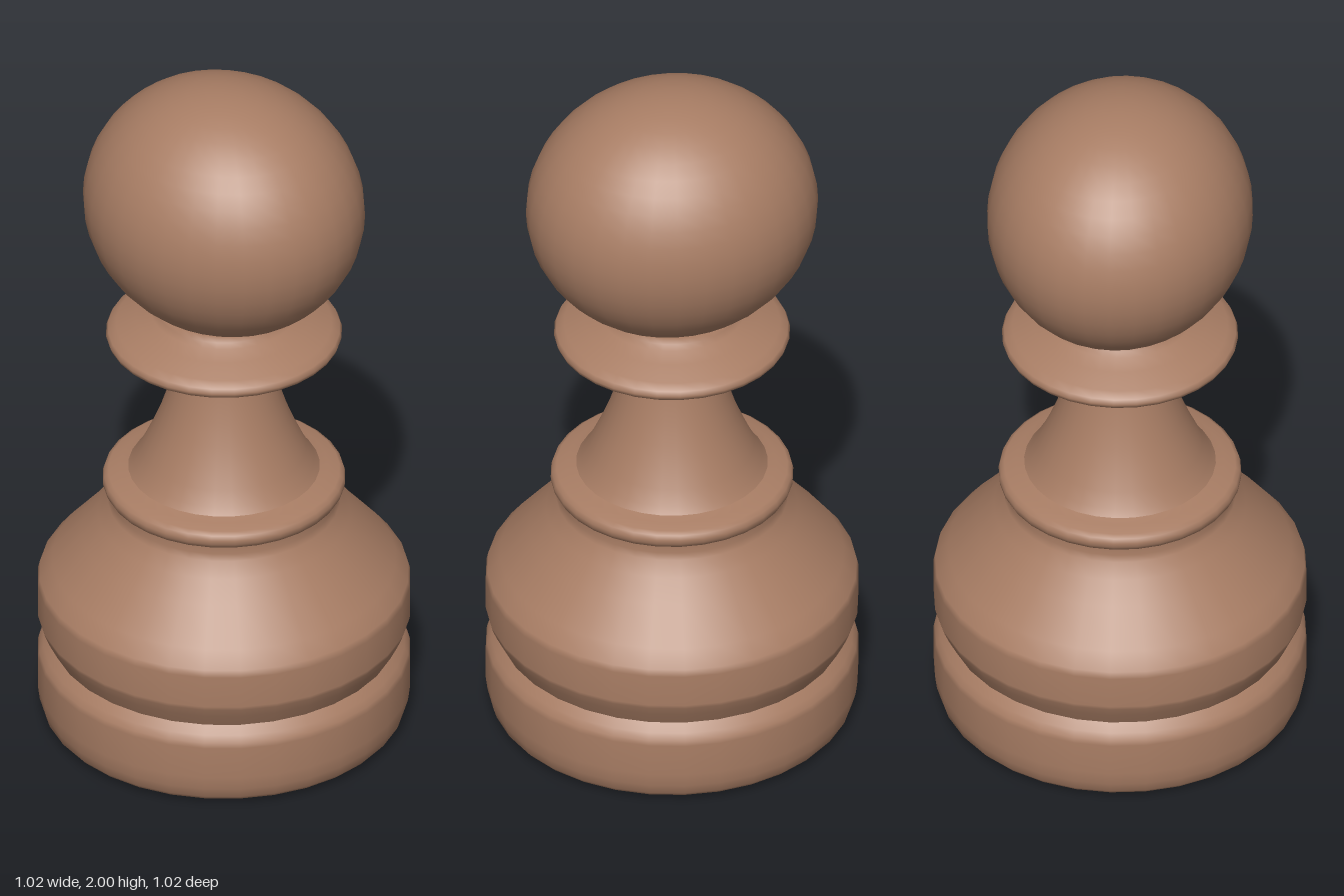
import * as THREE from 'three';

const SEGMENTS = 32;

export function createModel() {
  const group = new THREE.Group();
  group.name = 'chessPawn';
  const material = new THREE.MeshStandardMaterial({ color: 0xa87d64, roughness: 0.7 });

  // Turned part from [radius, height] pairs, listed from bottom to top
  const turned = (name, profile) => {
    const points = profile.map(([r, y]) => new THREE.Vector2(r, y));
    const mesh = new THREE.Mesh(new THREE.LatheGeometry(points, SEGMENTS), material);
    mesh.name = name;
    group.add(mesh);
  };

  // Foot with rounded lower edge, up to the groove
  turned('foot', [
    [0, 0], [0.33, 0.002], [0.45, 0.01], [0.485, 0.017], [0.496, 0.03], [0.505, 0.06],
    [0.51, 0.1], [0.51, 0.195], [0.506, 0.21], [0.495, 0.228], [0.475, 0.25],
  ]);

  // Wide belly tapering to the waist
  turned('belly', [
    [0.475, 0.25], [0.495, 0.29], [0.507, 0.318], [0.51, 0.33], [0.51, 0.425],
    [0.505, 0.445], [0.47, 0.49], [0.39, 0.582], [0.345, 0.64], [0.317, 0.68],
    [0.312, 0.70], [0.312, 0.722],
  ]);

  // Rounded ring above the belly
  turned('lowerRing', [
    [0.312, 0.722], [0.324, 0.729], [0.331, 0.742], [0.332, 0.754], [0.328, 0.768],
    [0.316, 0.776], [0.285, 0.783], [0.262, 0.79],
  ]);

  // Concave stem
  turned('stem', [
    [0.262, 0.79], [0.247, 0.81], [0.225, 0.85], [0.2, 0.905], [0.178, 0.96],
    [0.157, 1.025], [0.142, 1.085], [0.133, 1.13], [0.13, 1.152],
  ]);

  // Thin flared collar and the seat of the head
  turned('collar', [
    [0.13, 1.152], [0.145, 1.162], [0.22, 1.181], [0.3, 1.202], [0.318, 1.212],
    [0.323, 1.225], [0.317, 1.238], [0.295, 1.252], [0.24, 1.275], [0.2, 1.293],
    [0.186, 1.305], [0.181, 1.322], [0, 1.322],
  ]);

  // Ball head, slightly deeper than wide
  const head = new THREE.Mesh(new THREE.SphereGeometry(1, SEGMENTS, 24), material);
  head.name = 'head';
  head.scale.set(0.361, 0.361, 0.402);
  head.position.y = 1.639;
  group.add(head);

  return group;
}
